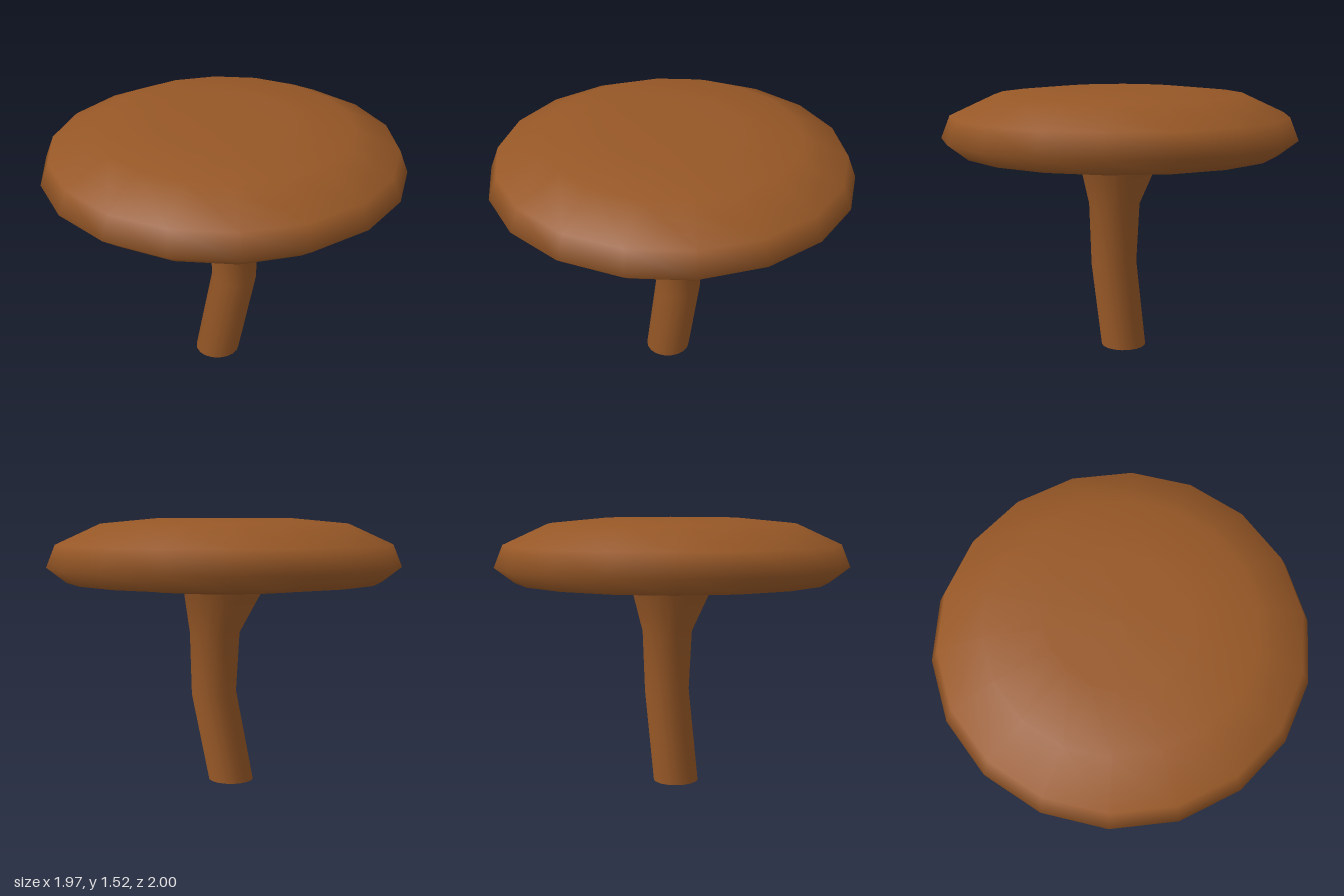
import * as THREE from 'three';

const SIDES = 18;

export function createModel() {
  const group = new THREE.Group();
  const brown = new THREE.MeshStandardMaterial({ color: 0x965726, side: THREE.DoubleSide });
  brown.name = 'warmBrown';

  const add = (name, geometry) => {
    const mesh = new THREE.Mesh(geometry, brown);
    mesh.name = name;
    group.add(mesh);
  };

  // Surface of revolution from [radius, height] pairs
  const lathe = (pairs) =>
    new THREE.LatheGeometry(pairs.map(([r, y]) => new THREE.Vector2(r, y)), SIDES);

  // Cap: separate surfaces keep the lip edges sharp
  add('capUnderside', lathe([[0, 1.13], [0.54, 1.13], [0.83, 1.22]]));
  add('capLip', lathe([[0.83, 1.22], [0.89, 1.165]]));
  add('capTop', lathe([
    [0.89, 1.165], [1, 1.25], [0.95, 1.375], [0.7, 1.49], [0.38, 1.52], [0, 1.52],
  ]));

  // Stem: bent, open tube that flares into the cap [centre x, y, radius, tilt]
  const rings = [
    [-0.04, 0, 0.13, 0],
    [0.06, 0.52, 0.13, -0.08],
    [0.055, 0.87, 0.145, 0],
    [0.003, 1.132, 0.235, 0],
  ];
  const stem = lathe(rings.map(([, y, r]) => [r, y]));
  const pos = stem.attributes.position;
  for (let i = 0; i < pos.count; i++) {
    const [cx, y, , tilt] = rings[i % rings.length];
    const x = pos.getX(i);
    pos.setXYZ(i, x + cx, y + x * tilt, pos.getZ(i));
  }
  add('stem', stem);

  return group;
}
